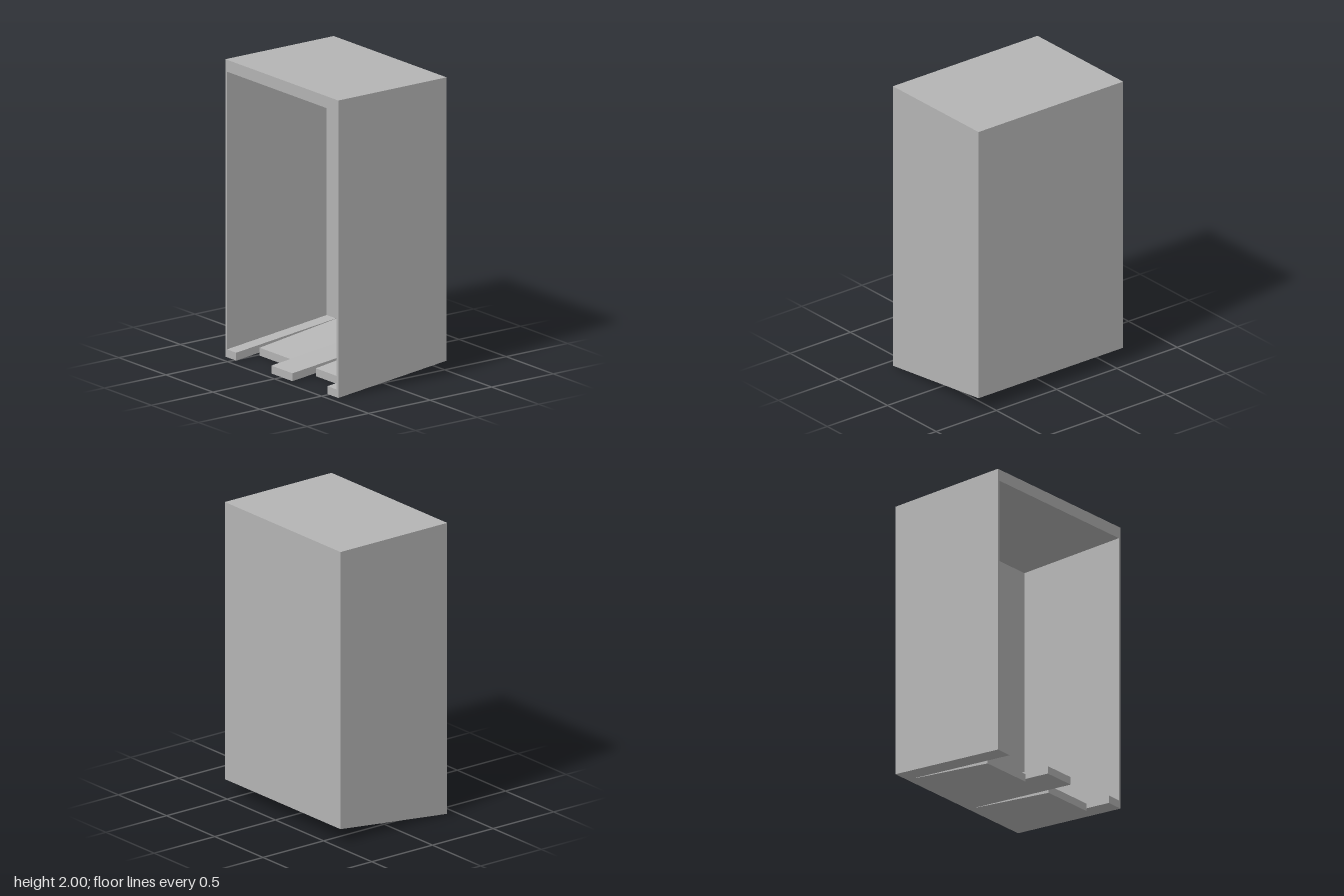
import * as THREE from 'three';

const W = 0.6, D = 0.44, H = 2;   // half width, half depth, height
const WALL = 0.017, BACK = 0.07, ROOF = 0.08, FLOOR = 0.053;
const RISE = 0.095;               // the underside climbs towards the back

export function createModel() {
  const group = new THREE.Group();
  const grey = new THREE.MeshStandardMaterial({ color: 0xb4b4b4 });
  grey.name = 'grey';

  // Extrudes a side profile of [z, y] points from x0 to x1
  function slab(name, points, x0, x1) {
    const shape = new THREE.Shape(points.map(([z, y]) => new THREE.Vector2(z, y)));
    const geo = new THREE.ExtrudeGeometry(shape, { depth: x1 - x0, bevelEnabled: false });
    geo.rotateY(-Math.PI / 2);
    geo.translate(x1, 0, 0);
    const mesh = new THREE.Mesh(geo, grey);
    mesh.name = name;
    group.add(mesh);
  }

  const under = (z) => RISE * (D - z) / (2 * D);
  const inner = -D + BACK;
  const xi = W - WALL;

  // Side walls
  const side = [[D, 0], [D, H], [-D, H], [-D, RISE]];
  slab('rightWall', side, -W, -xi);
  slab('leftWall', side, xi, W);

  // Roof and back wall
  slab('roof', [[D, H - ROOF], [D, H], [-D, H], [-D, H - ROOF]], -xi, xi);
  slab('backWall', [[inner, under(inner)], [inner, H - ROOF], [-D, H - ROOF], [-D, RISE]], -xi, xi);

  // Floor tongues that reach the front edge
  const tongue = [[D, 0], [D, FLOOR], [inner, under(inner) + FLOOR], [inner, under(inner)]];
  const a = 0.112, b = 0.485;
  slab('rightTongue', tongue, -xi, -b);
  slab('middleTongue', tongue, -a, a);
  slab('leftTongue', tongue, b, xi);

  // Shorter floor panels that tilt slightly below the tongues
  const front = 0.25;
  const low = RISE * (front - inner) / (front + D);
  const panel = [[front, 0], [front, FLOOR], [inner, low + FLOOR], [inner, low]];
  slab('rightPanel', panel, -b, -a);
  slab('leftPanel', panel, a, b);

  return group;
}
